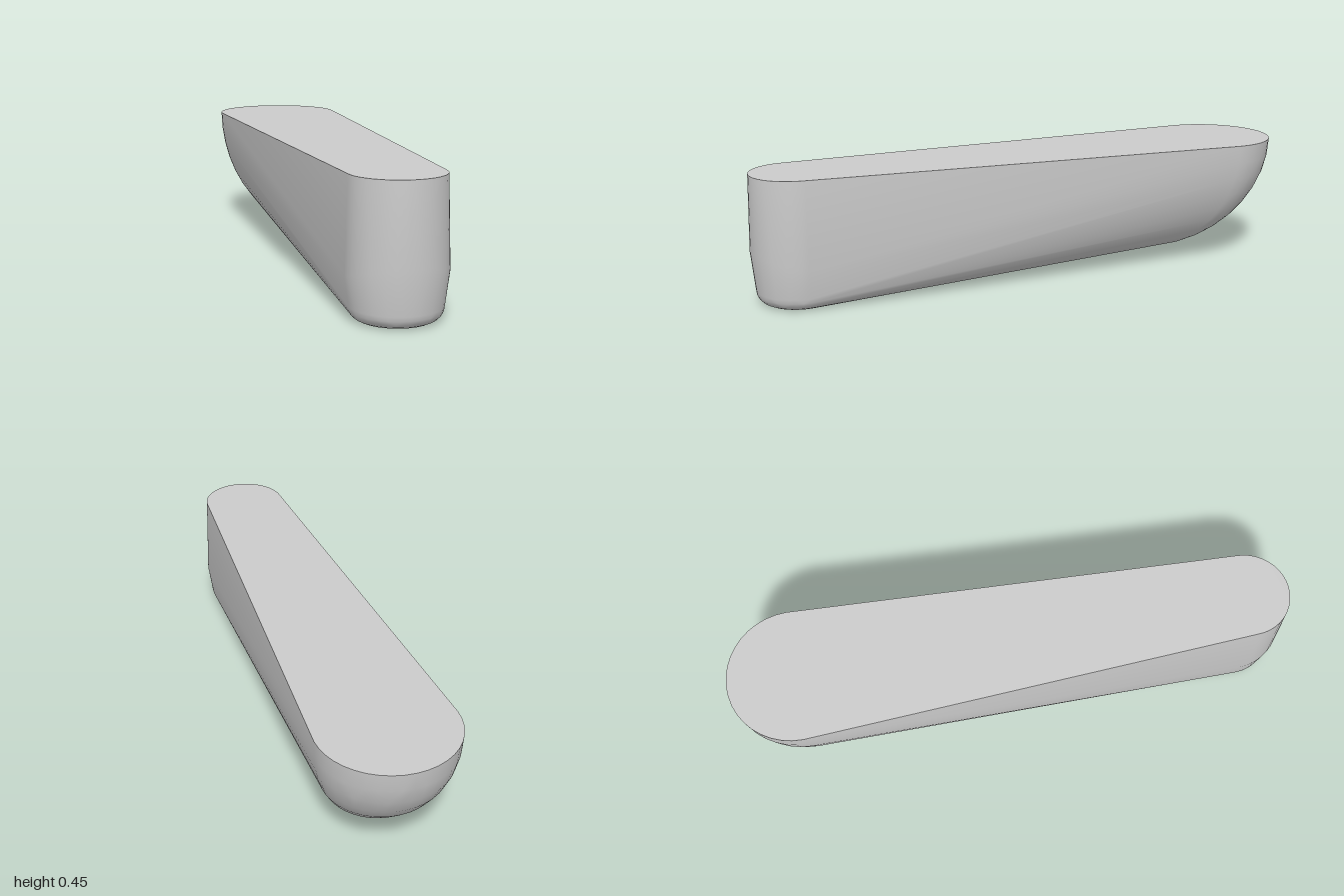
import * as THREE from 'three';
import { ConvexGeometry } from 'three/addons/geometries/ConvexGeometry.js';
import { toCreasedNormals } from 'three/addons/utils/BufferGeometryUtils.js';

const TOP = 0.45;

// Adds a horizontal ring of points; tilt raises it towards +z
function addRing(points, z, y, rx, rz, tilt = 0, sides = 40) {
  for (let i = 0; i < sides; i++) {
    const a = (i / sides) * Math.PI * 2;
    points.push(new THREE.Vector3(Math.sin(a) * rx, y + Math.cos(a) * tilt, z + Math.cos(a) * rz));
  }
}

export function createModel() {
  const group = new THREE.Group();
  const points = [];

  // Narrow front end: upright post, slight bulge, rounded foot
  addRing(points, 0.84, TOP, 0.153, 0.153);
  addRing(points, 0.84, 0.14, 0.162, 0.16, 0.045);
  const fillet = 0.045;
  for (let i = 0; i <= 5; i++) {
    const a = (i / 5) * Math.PI / 2;
    const r = 0.103 + fillet * Math.cos(a);
    addRing(points, 0.838, fillet * (1 - Math.sin(a)), r, r);
  }

  // Wide rear end: half ellipsoid whose lower slices lean forward
  const depth = 0.41, steps = 10;
  for (let i = 0; i < steps; i++) {
    const a = (i / steps) * Math.PI / 2;
    const s = Math.cos(a);
    addRing(points, -0.5 - 0.265 * s, TOP - depth * Math.sin(a), 0.236 * s, 0.235 * s);
  }
  points.push(new THREE.Vector3(0, TOP - depth, -0.5));

  // Skin stretched tightly over both ends
  const body = new THREE.Mesh(
    toCreasedNormals(new ConvexGeometry(points), 0.5),
    new THREE.MeshStandardMaterial({ color: 0xcccccc })
  );
  body.name = 'taperedBody';
  group.add(body);
  return group;
}
